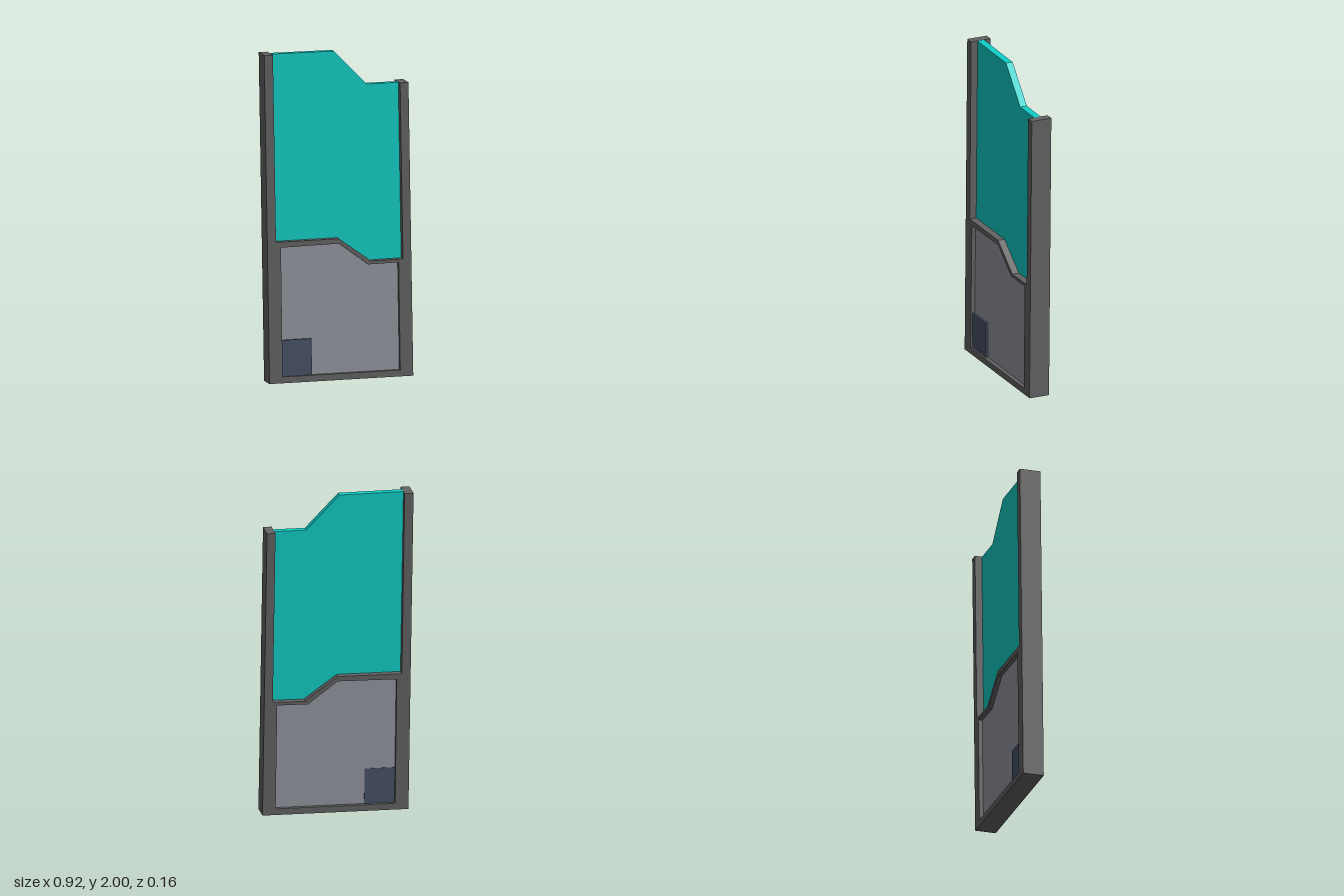
import * as THREE from 'three';

const material = (name, color) => {
  const m = new THREE.MeshStandardMaterial({ color });
  m.name = name;
  return m;
};

const toPoints = (list) => list.map(([x, y]) => new THREE.Vector2(x, y));

// Flat plate with the given outline, running from zBack to zFront
function plate(name, outline, zBack, zFront, mat, hole) {
  const shape = new THREE.Shape(toPoints(outline));
  if (hole) shape.holes.push(new THREE.Path(toPoints(hole)));
  const geometry = new THREE.ExtrudeGeometry(shape, { depth: zFront - zBack, bevelEnabled: false });
  geometry.translate(0, -1, zBack); // origin at mid height, so the lean pivots there
  const mesh = new THREE.Mesh(geometry, mat);
  mesh.name = name;
  return mesh;
}

export function createModel() {
  const frameMat = material('dark grey frame', 0x646464);
  const glassMat = material('turquoise pane', 0x10cfc8);
  const panelMat = material('light grey panel', 0x9698a2);
  const patchMat = material('navy patch', 0x485266);

  // Stepped edges, left to right
  const paneTop = [[-0.393, 2.004], [-0.003, 2.0], [0.197, 1.788], [0.393, 1.787]];
  const railTop = [[-0.393, 0.865], [-0.002, 0.865], [0.197, 0.718], [0.393, 0.72]];
  const opening = [[-0.365, 0.045], [0.365, 0.045], [0.366, 0.7], [0.178, 0.698], [-0.002, 0.835], [-0.363, 0.831]];

  // Two posts of unequal height joined by the stepped rail and the sill
  const frameOutline = [
    [-0.447, 0.006], [0.445, 0.006], [0.445, 1.79], [0.393, 1.79],
    ...[...railTop].reverse(),
    [-0.393, 2.005], [-0.447, 2.005],
  ];

  const door = new THREE.Group();
  door.name = 'door';
  door.add(
    plate('frame', frameOutline, -0.065, 0.065, frameMat, opening),
    plate('upperPane', [...railTop, ...[...paneTop].reverse()], -0.022, 0.022, glassMat),
    plate('lowerPanel', opening, -0.04, 0.04, panelMat),
    plate('cornerPatch', [[-0.365, 0.045], [-0.18, 0.045], [-0.18, 0.266], [-0.365, 0.266]], -0.043, 0.054, patchMat),
  );

  // Slight lean backward and sideways
  door.rotation.set(-0.015, 0, 0.0128);
  door.position.y = 1;

  const model = new THREE.Group();
  model.name = 'model';
  model.add(door);
  return model;
}
